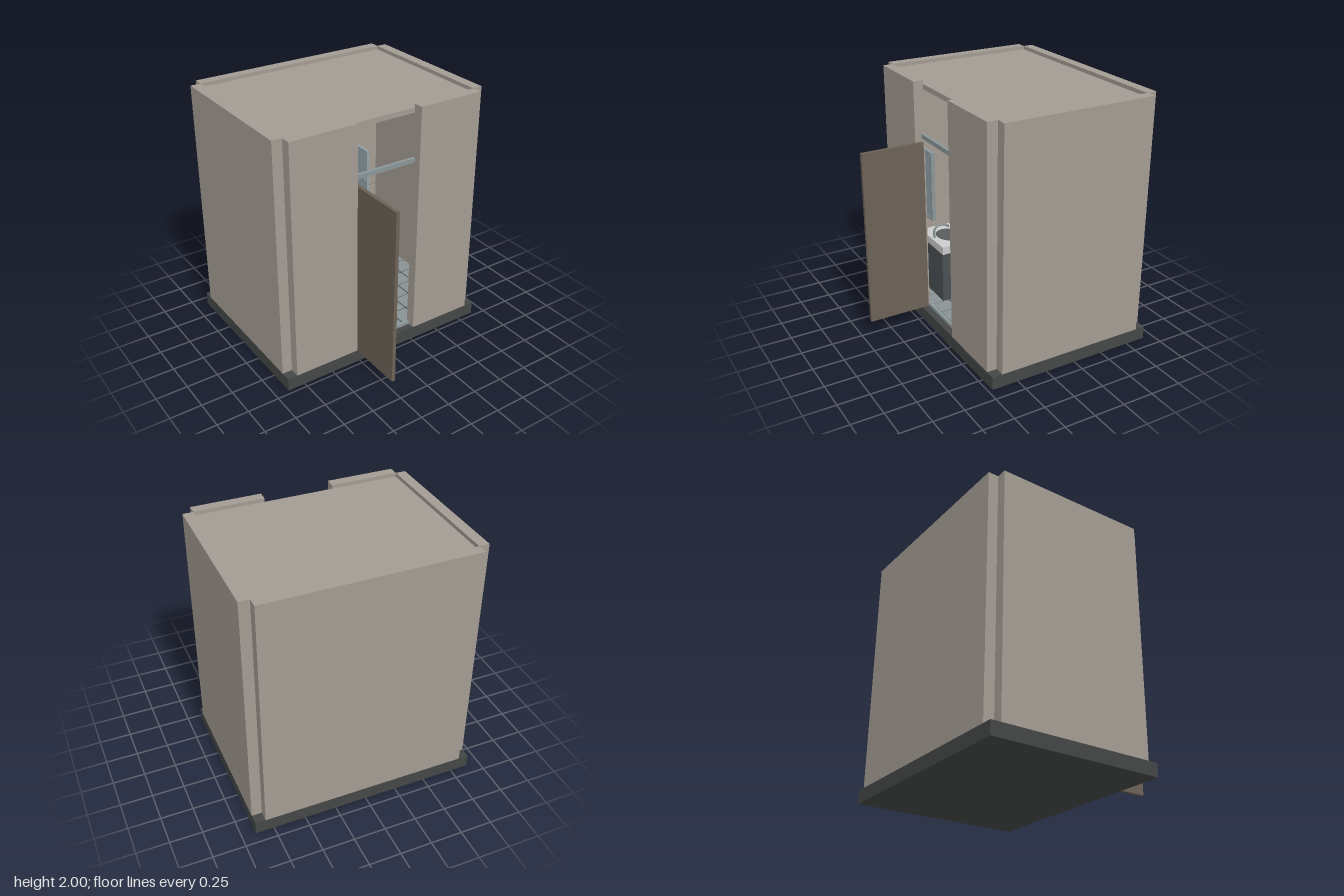
import * as THREE from 'three';

const mat = (color, side = THREE.FrontSide) => new THREE.MeshStandardMaterial({ color, side });
const M = {
  wall: mat(0xa39c93), base: mat(0x444746), door: mat(0x6c6156), metal: mat(0x8b9698),
  tile: mat(0x8b9294), grout: mat(0x3c4042), cabinet: mat(0x4a5052), white: mat(0xdededc),
  glass: mat(0x93a5aa), lamp: mat(0xe6dcc0), seam: mat(0x7d766e),
  bowl: mat(0x55595a, THREE.DoubleSide),
};

export function createModel() {
  const root = new THREE.Group();

  const add = (parent, name, geo, material) => {
    const m = new THREE.Mesh(geo, material);
    m.name = name;
    parent.add(m);
    return m;
  };
  // Box given by its lower and upper limits on each axis
  const box = (parent, name, material, x0, x1, y0, y1, z0, z1) => {
    const m = add(parent, name, new THREE.BoxGeometry(x1 - x0, y1 - y0, z1 - z0), material);
    m.position.set((x0 + x1) / 2, (y0 + y1) / 2, (z0 + z1) / 2);
    return m;
  };
  const group = (name) => {
    const g = new THREE.Group();
    g.name = name;
    root.add(g);
    return g;
  };

  // Shell: slab, walls with open corner notches, sunken ceiling
  const X = 0.893, XI = 0.813, ZB = -0.915, ZBI = -0.835, ZF = 0.465, ZFI = 0.385, Y0 = 0.105;
  box(root, 'baseSlab', M.base, -X, X, 0, Y0, ZB, ZF);
  const walls = group('walls');
  box(walls, 'rightWall', M.wall, -X, -XI, Y0, 2, ZBI, ZFI);
  box(walls, 'leftWall', M.wall, XI, X, Y0, 2, ZBI, ZFI);
  box(walls, 'backWall', M.wall, -XI, XI, Y0, 2, ZB, ZBI);
  box(walls, 'frontWallRight', M.wall, -XI, -0.273, Y0, 2, ZFI, ZF);
  box(walls, 'frontWallLeft', M.wall, 0.27, XI, Y0, 2, ZFI, ZF);
  box(root, 'ceiling', M.wall, -XI, XI, 1.93, 1.97, ZBI, ZFI);

  // Panel joints and skirting on the inner back wall
  for (const y of [0.715, 1.325]) box(walls, 'panelJoint', M.seam, -XI, XI, y - 0.002, y + 0.002, ZBI, ZBI + 0.002);
  box(walls, 'skirting', M.seam, -XI, XI, Y0, 0.185, ZBI, ZBI + 0.012);

  // Tiled floor
  const floor = group('floor');
  box(floor, 'grout', M.grout, -XI, XI, Y0, 0.118, ZBI, ZFI);
  const nx = 11, nz = 8, tx = 2 * XI / nx, tz = (ZFI - ZBI) / nz, gap = 0.006;
  for (let i = 0; i < nx; i++) for (let j = 0; j < nz; j++) {
    const x = -XI + i * tx, z = ZBI + j * tz;
    box(floor, 'floorTile', M.tile, x + gap, x + tx - gap, 0.118, 0.125, z + gap, z + tz - gap);
  }

  // Doorway: sill, transom and the door swung fully open
  box(root, 'doorSill', M.metal, -0.27, 0.27, Y0, 0.13, ZFI, 0.41);
  box(root, 'doorTransom', M.metal, -0.273, 0.27, 1.55, 1.585, ZFI, 0.41);
  box(root, 'door', M.door, -0.272, -0.243, Y0, 1.525, 0.41, 0.915);

  // Ceiling lamp
  const lamp = add(root, 'ceilingLamp', new THREE.CylinderGeometry(0.16, 0.15, 0.025, 40), M.lamp);
  lamp.position.set(0, 1.9175, -0.22);

  // Vanity facing the back of the room
  const vanity = group('vanity');
  box(vanity, 'cabinet', M.cabinet, -0.58, -0.22, 0.125, 0.56, 0.02, 0.285);
  for (const s of [-1, 1]) {
    const x = -0.4 + s * 0.088;
    box(vanity, 'cabinetDoor', M.cabinet, x - 0.083, x + 0.083, 0.15, 0.54, 0.01, 0.02);
    box(vanity, 'cabinetHandle', M.metal, -0.4 + s * 0.02 - 0.005, -0.4 + s * 0.02 + 0.005, 0.4, 0.48, 0, 0.01);
  }
  const top = new THREE.Shape();
  top.moveTo(-0.2, -0.155).lineTo(0.2, -0.155).lineTo(0.2, 0.155).lineTo(-0.2, 0.155).closePath();
  top.holes.push(new THREE.Path().absellipse(0, 0, 0.12, 0.1, 0, Math.PI * 2, true));
  const counter = add(vanity, 'counter', new THREE.ExtrudeGeometry(top, { depth: 0.065, bevelEnabled: false, curveSegments: 24 }), M.white);
  counter.rotation.x = -Math.PI / 2;
  counter.position.set(-0.4, 0.56, 0.135);
  const profile = [[0.001, 0], [0.06, 0.004], [0.095, 0.025], [0.12, 0.06]].map(([x, y]) => new THREE.Vector2(x, y));
  const basin = add(vanity, 'basin', new THREE.LatheGeometry(profile, 32), M.bowl);
  basin.position.set(-0.4, 0.562, 0.135);
  basin.scale.z = 0.1 / 0.12;
  const spout = new THREE.CatmullRomCurve3([[0.262, 0.62], [0.262, 0.69], [0.235, 0.725], [0.17, 0.725], [0.13, 0.7]]
    .map(([z, y]) => new THREE.Vector3(-0.4, y, z)));
  add(vanity, 'faucet', new THREE.TubeGeometry(spout, 24, 0.01, 10), M.metal);

  // Framed mirror above the vanity
  const mirror = group('mirror');
  box(mirror, 'mirrorGlass', M.glass, -0.588, -0.212, 0.895, 1.43, 0.352, 0.368);
  for (const [x0, x1, y0, y1] of [[-0.6, -0.588, 0.88, 1.445], [-0.212, -0.198, 0.88, 1.445],
    [-0.588, -0.212, 0.88, 0.895], [-0.588, -0.212, 1.43, 1.445]]) {
    box(mirror, 'mirrorFrame', M.metal, x0, x1, y0, y1, 0.345, 0.375);
  }

  // Shower screen with its hinges and floor bracket
  const screen = group('showerScreen');
  box(screen, 'screenPanel', M.glass, 0.202, 0.221, 0.125, 1.46, ZBI, -0.1);
  for (const [y, h] of [[1.225, 0.035], [0.34, 0.035], [0.135, 0.02]]) {
    box(screen, 'screenHinge', M.metal, 0.18, 0.225, y - h / 2, y + h / 2, -0.16, -0.11);
  }
  return root;
}
